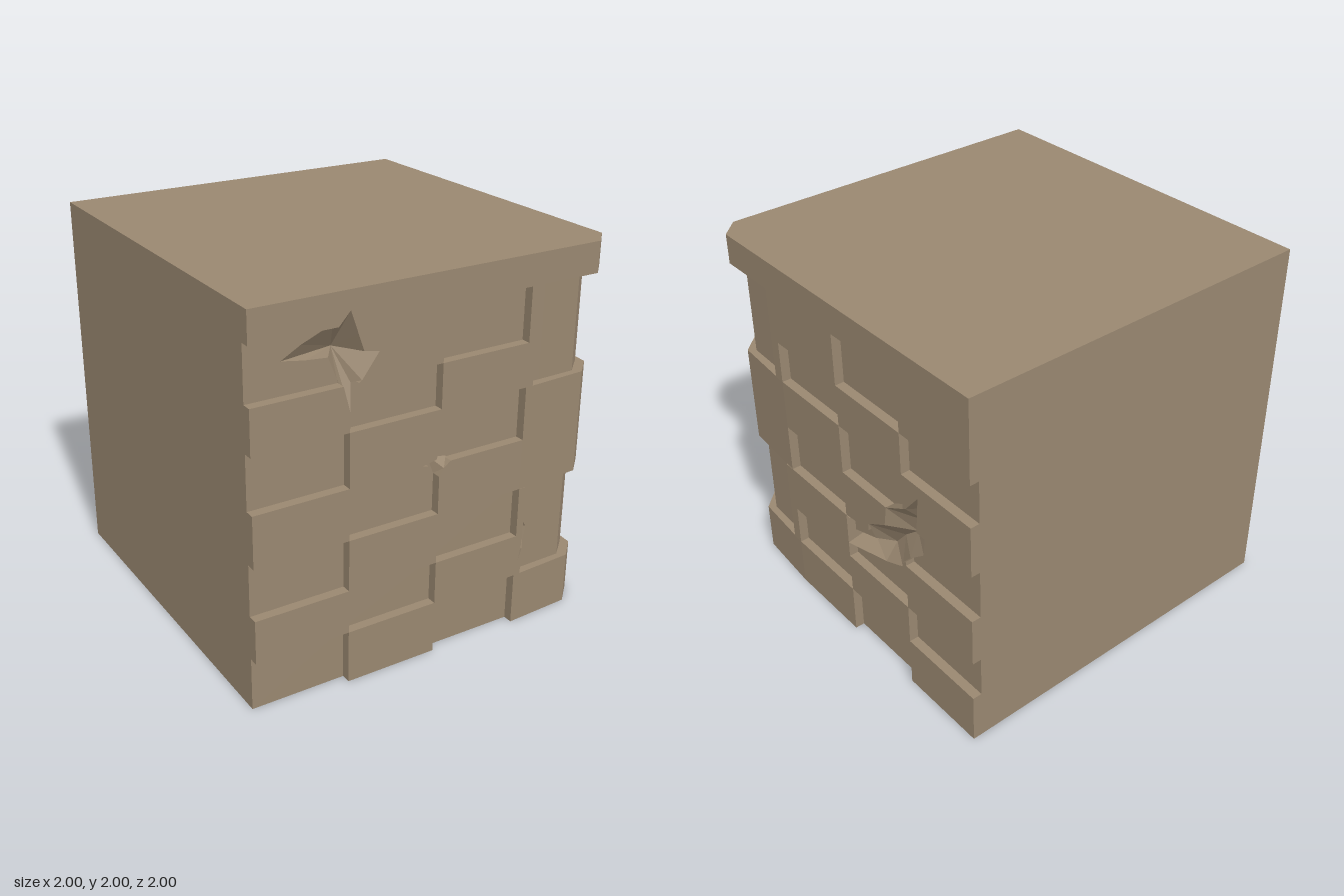
import * as THREE from 'three';
import { mergeGeometries } from 'three/addons/utils/BufferGeometryUtils.js';

const material = new THREE.MeshStandardMaterial({ color: 0x998770, flatShading: true });
const ROWS = [0, 0.28, 0.51, 0.78, 1.05, 1.33, 1.56, 1.84, 2];
const HIGH = 1, LOW = 0.95, CORE = 0.75;
const cornerIsLow = (r) => [1, 2, 5, 6].includes(r);

// Signed area of a triangle; positive when counter-clockwise
const cross = (a, b, p) => (b[0] - a[0]) * (p[1] - a[1]) - (b[1] - a[1]) * (p[0] - a[0]);
const ccw = (t) => (cross(...t) < 0 ? [t[0], t[2], t[1]] : t);
const area = (p) => p.slice(2).reduce((s, q, i) => s + cross(p[0], p[i + 1], q), 0) / 2;

// Part of a convex polygon on one side of the line a-b (side 1 = left)
function clip(poly, a, b, side) {
  const out = [];
  poly.forEach((p, i) => {
    const q = poly[(i + 1) % poly.length];
    const dp = side * cross(a, b, p), dq = side * cross(a, b, q);
    if (dp >= 0) out.push(p);
    if (dp * dq < 0) {
      const t = dp / (dp - dq);
      out.push([p[0] + t * (q[0] - p[0]), p[1] + t * (q[1] - p[1])]);
    }
  });
  return out;
}

// Convex pieces of a polygon that lie outside a triangle
function subtract(poly, tri) {
  const pieces = [];
  let rest = poly;
  for (let i = 0; i < 3 && rest.length > 2; i++) {
    const a = tri[i], b = tri[(i + 1) % 3];
    pieces.push(clip(rest, a, b, -1));
    rest = clip(rest, a, b, 1);
  }
  if (rest.length < 3 || area(rest) < 1e-7) return [poly];
  return pieces.filter((p) => p.length > 2 && area(p) > 1e-7);
}

function prism(poly, from, to) {
  const shape = new THREE.Shape(poly.map((p) => new THREE.Vector2(...p)));
  return new THREE.ExtrudeGeometry(shape, { depth: to - from, bevelEnabled: false }).translate(0, 0, from);
}

// A crack is a list of triangles; each corner is [u, v, depth]
function starCrack(centre, rim, depth) {
  return rim.map((p, i) => ccw([[...centre, depth], [...p, 0], [...rim[(i + 1) % rim.length], 0]]));
}
function longCrack(upper, lower, depth) {
  const tris = [];
  const mid = upper.map((p, i) => [(p[0] + lower[i][0]) / 2, (p[1] + lower[i][1]) / 2,
    i === upper.length - 1 ? 0 : depth]);
  for (const side of [upper, lower]) {
    for (let i = 0; i < side.length - 1; i++) {
      const a = [...side[i], 0], b = [...side[i + 1], 0];
      tris.push(ccw([a, b, mid[i]]), ccw([b, mid[i + 1], mid[i]]));
    }
  }
  return tris.filter((t) => cross(...t) > 1e-7);
}

// Stone blocks of one wall, cut by the cracks, plus the crack floors
function buildWall(cells, cracks, name) {
  const blocks = cells.map(([u0, u1, v0, v1, level]) => {
    let pieces = [[[u0, v0], [u1, v0], [u1, v1], [u0, v1]]];
    for (const tri of cracks.flat()) pieces = pieces.flatMap((p) => subtract(p, tri));
    return pieces.map((p) => prism(p, CORE, level));
  }).flat();

  const levelAt = (u, v) => {
    const c = cells.find(([u0, u1, v0, v1]) => u >= u0 && u <= u1 && v >= v0 && v <= v1);
    return c ? c[4] : LOW;
  };
  const points = cracks.flat(2).map(([u, v, d]) =>
    new THREE.Vector3(u, v, d > 0 ? LOW - d : levelAt(u, v)));
  const floor = new THREE.BufferGeometry().setFromPoints(points);
  floor.computeVertexNormals();

  const wall = new THREE.Group();
  wall.name = name;
  const stones = new THREE.Mesh(mergeGeometries(blocks), material);
  stones.name = name + 'Stones';
  const hollows = new THREE.Mesh(floor, material);
  hollows.name = name + 'Cracks';
  wall.add(stones, hollows);
  return wall;
}

// Checkered cells: three columns of half-unit stones below a plain top band
function checker(uStart, phase) {
  const cells = [];
  for (let r = 0; r < 8; r++) {
    for (let k = 0; k < 3; k++) {
      const u = uStart + 0.5 * k;
      const low = r < 7 && (k + r) % 2 === phase;
      cells.push([u, u + 0.5, ROWS[r], ROWS[r + 1], low ? LOW : HIGH]);
    }
  }
  return cells;
}

export function createModel() {
  const model = new THREE.Group();
  model.name = 'crackedStoneBlock';

  // Solid core with plain back and left-hand faces
  const core = new THREE.Mesh(new THREE.BoxGeometry(1 + CORE, 2, 1 + CORE), material);
  core.position.set((CORE - 1) / 2, 1, (CORE - 1) / 2);
  core.name = 'core';
  model.add(core);

  const frontCells = checker(-1, 0), sideCells = checker(-0.5, 1);

  // Bevelled corner stones, stacked row by row
  const corner = new THREE.Group();
  corner.name = 'cornerStones';
  for (let r = 0; r < 8; r++) {
    const v0 = ROWS[r], v1 = ROWS[r + 1];
    let outline;
    if (r === 7) {
      outline = [[0.5, 1], [0.9, 1], [1, 0.9], [1, 0.5], [0.5, 0.5]];
    } else if (cornerIsLow(r)) {
      outline = [[0.62, 0.95], [0.835, 0.945], [0.94, 0.85], [0.95, 0.56], [0.62, 0.56]];
      frontCells.push([0.5, 0.54, v0, v1, HIGH], [0.54, 0.62, v0, v1, LOW]);
      sideCells.push([-0.56, -0.5, v0, v1, HIGH]);
    } else {
      outline = [[0.5, 1], [0.87, 0.98], [0.975, 0.88], [1, 0.5], [0.5, 0.5]];
    }
    const geometry = prism(outline.map(([x, z]) => [x, -z]), v0, v1).rotateX(-Math.PI / 2);
    const stone = new THREE.Mesh(geometry, material);
    stone.name = 'cornerStone' + r;
    corner.add(stone);
  }
  model.add(corner);

  // Front wall with three star-like cracks
  const largeStar = starCrack([-0.5, 1.69], [
    [-0.82, 1.72], [-0.7, 1.7], [-0.585, 1.69], [-0.54, 1.58], [-0.5, 1.43], [-0.47, 1.55], [-0.44, 1.57],
    [-0.35, 1.69], [-0.43, 1.705], [-0.46, 1.79], [-0.5, 1.905], [-0.56, 1.84], [-0.72, 1.775]], 0.12);
  const smallStar = starCrack([0, 1.05], [
    [-0.1, 1.06], [-0.025, 1.04], [0, 0.98], [0.025, 1.02], [0.07, 1.055], [0.01, 1.065], [0, 1.13], [-0.02, 1.075]], 0.05);
  const cornerChip = starCrack([0.56, 0.51], [
    [0.52, 0.36], [0.54, 0.42], [0.585, 0.44], [0.6, 0.52], [0.575, 0.56], [0.575, 0.62], [0.545, 0.65],
    [0.55, 0.57], [0.54, 0.5], [0.535, 0.44]], 0.04);
  model.add(buildWall(frontCells, [largeStar, smallStar, cornerChip], 'frontWall'));

  // Side wall with one long diagonal crack
  const diagonal = longCrack(
    [[0, 0.66], [0.18, 0.72], [0.2, 0.85], [0.34, 0.93], [0.36, 1.05], [0.52, 1.14], [0.62, 1.26]],
    [[0, 0.6], [0.26, 0.62], [0.4, 0.68], [0.47, 0.78], [0.58, 0.87], [0.6, 1.05], [0.62, 1.26]], 0.1);
  const finger = starCrack([0.19, 0.785], [[0, 0.783], [0.19, 0.765], [0.22, 0.785], [0.19, 0.805]], 0.06);
  const sideWall = buildWall(sideCells, [diagonal, finger], 'sideWall');
  sideWall.rotation.y = Math.PI / 2;
  model.add(sideWall);

  return model;
}
